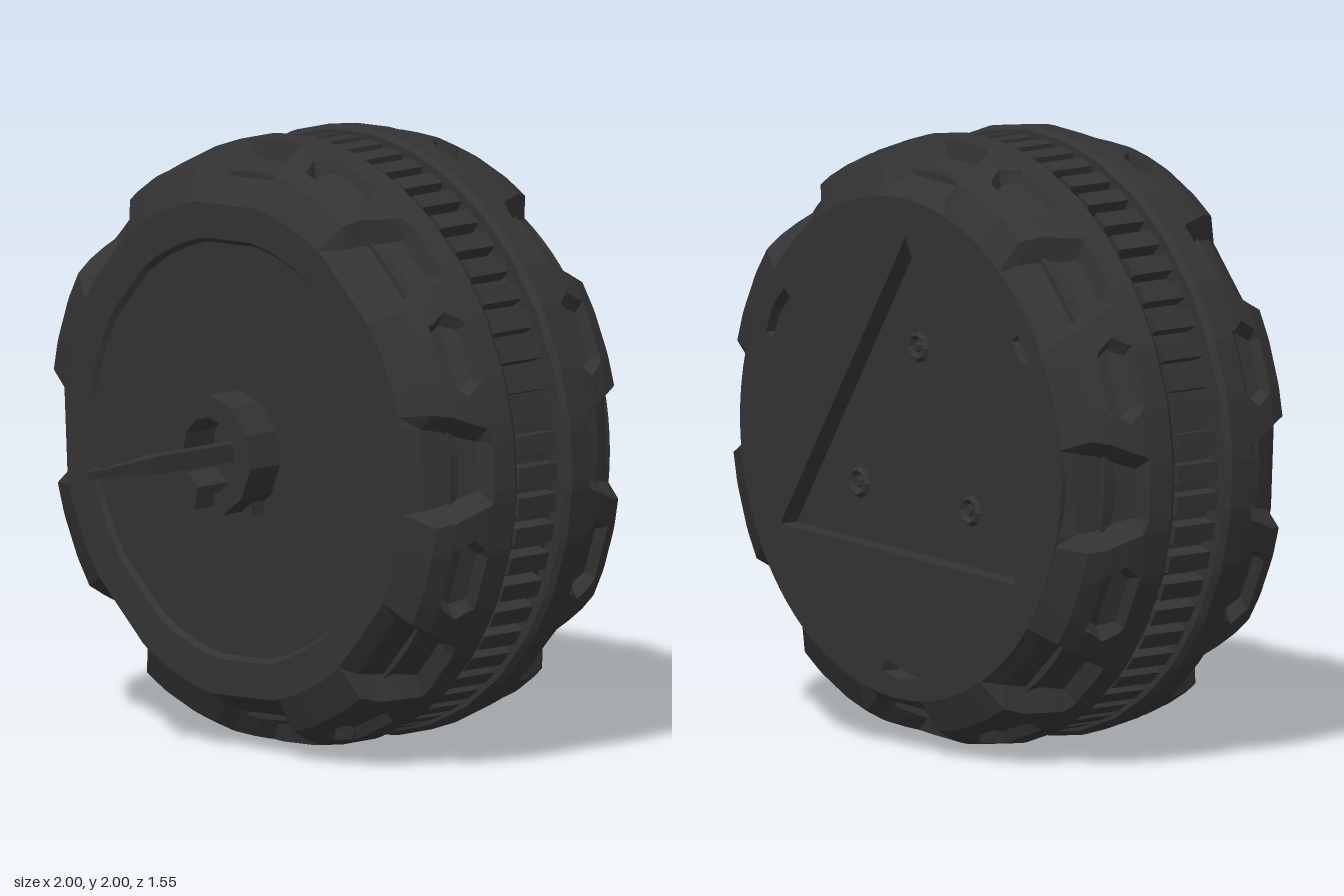
import * as THREE from 'three';

const rubber = new THREE.MeshStandardMaterial({ color: 0x333333, flatShading: true });
rubber.name = 'darkRubber';
const RAD = Math.PI / 180;
const LUGS = 8, PHASE = 3;

function add(parent, geometry, name, x = 0, y = 0, z = 0) {
  const mesh = new THREE.Mesh(geometry, rubber);
  mesh.name = name;
  mesh.position.set(x, y, z);
  parent.add(mesh);
  return mesh;
}

// Drum lying along z between two depths
function drum(r, z0, z1, sides = 64) {
  return new THREE.CylinderGeometry(r, r, Math.abs(z1 - z0), sides)
    .rotateX(Math.PI / 2).translate(0, 0, (z0 + z1) / 2);
}

// Tread half: each row is a ring at depth d from the outer face.
// w = half angle of the shoulder notch, n = notch depth, p = pocket depth
const treadRows = [
  { d: 0.00, r: 0.82, w: 10, n: 0.0, p: 0, h: 4 },
  { d: 0.05, r: 0.93, w: 9, n: 0.07, p: 0, h: 4 },
  { d: 0.11, r: 0.96, w: 8, n: 0.08, p: 0, h: 5 },
  { d: 0.125, r: 0.965, w: 7.5, n: 0.08, p: 0.045, h: 5 },
  { d: 0.18, r: 0.98, w: 6, n: 0.07, p: 0.05, h: 7 },
  { d: 0.225, r: 0.99, w: 5, n: 0.06, p: 0.035, h: 5 },
  { d: 0.24, r: 0.992, w: 4.5, n: 0.0, p: 0, h: 5 },
  { d: 0.325, r: 1.0, w: 4.5, n: 0, p: 0, h: 5 },
  { d: 0.345, r: 0.985, w: 4.5, n: 0, p: 0, h: 5 },
  { d: 0.345, r: 0.86, w: 4.5, n: 0, p: 0, h: 5 },
];

function treadHalf(zOuter, dir, extraRows) {
  const rows = [...extraRows, ...treadRows];
  const pos = [], idx = [];
  const step = 360 / LUGS;
  for (const { d, r, w, n, p, h } of rows) {
    const mid = step / 2;
    const columns = [
      [-w - 2.5, 0], [-w, n], [w, n], [w + 2.5, 0],
      [mid - h - 1.5, 0], [mid - h, p], [mid + h, p], [mid + h + 1.5, 0],
    ];
    for (let k = 0; k < LUGS; k++) {
      for (const [deg, cut] of columns) {
        const a = (PHASE + k * step + deg) * RAD;
        pos.push((r - cut) * Math.cos(a), (r - cut) * Math.sin(a), zOuter - dir * d);
      }
    }
  }
  const cols = LUGS * 8;
  for (let i = 0; i < rows.length - 1; i++) {
    for (let j = 0; j < cols; j++) {
      const a = i * cols + j, b = i * cols + (j + 1) % cols;
      const c = a + cols, e = b + cols;
      if (dir > 0) idx.push(a, c, b, b, c, e);
      else idx.push(a, b, c, b, e, c);
    }
  }
  const g = new THREE.BufferGeometry();
  g.setAttribute('position', new THREE.Float32BufferAttribute(pos, 3));
  g.setIndex(idx);
  const flat = g.toNonIndexed();
  flat.computeVertexNormals();
  return flat;
}

function polar(r, deg) {
  return new THREE.Vector2(r * Math.cos(deg * RAD), r * Math.sin(deg * RAD));
}

// Back cover with a triangular recess and three slots
function backCover(depth) {
  const shape = new THREE.Shape();
  shape.absarc(0, 0, 0.825, 0, Math.PI * 2, false);
  const triangle = [92, 212, 332].map((a) => polar(0.7, a)).reverse();
  shape.holes.push(new THREE.Path(triangle));
  for (const mid of [30, 150, 270]) {
    const slot = [polar(0.71, mid - 7), polar(0.75, mid - 7), polar(0.76, mid),
      polar(0.75, mid + 7), polar(0.71, mid + 7), polar(0.72, mid)];
    shape.holes.push(new THREE.Path(slot));
  }
  return new THREE.ExtrudeGeometry(shape, { depth, bevelEnabled: false, curveSegments: 48 });
}

// Faceted collar, open at the bottom
function hubCollar() {
  const pts = [];
  for (let i = 0; i <= 10; i++) pts.push(polar(0.2, -70 + i * 32));
  for (let i = 10; i >= 0; i--) pts.push(polar(0.125, -65 + i * 31));
  return new THREE.ExtrudeGeometry(new THREE.Shape(pts), { depth: 0.14, bevelEnabled: false });
}

export function createModel() {
  const model = new THREE.Group();
  model.name = 'wheelOnAxle';
  const wheel = new THREE.Group();
  wheel.name = 'wheel';
  wheel.position.y = 1;
  model.add(wheel);

  // Tyre halves; the front one steps down to a shallow recessed disc
  const plain = { w: 9, n: 0, p: 0, h: 4 };
  add(wheel, treadHalf(0.13, 1, [
    { d: 0.022, r: 0.685, ...plain }, { d: 0.005, r: 0.70, ...plain },
  ]), 'frontTread');
  add(wheel, treadHalf(-0.77, -1, []), 'rearTread');

  // Core, front disc and the ribbed middle band
  add(wheel, drum(0.7, -0.70, 0.108), 'frontDisc');
  add(wheel, drum(0.9, -0.65, 0.0), 'core');
  add(wheel, drum(0.925, -0.425, -0.235), 'middleBand');
  const ribs = new THREE.Group();
  ribs.name = 'ribs';
  wheel.add(ribs);
  const ribGeometry = new THREE.BoxGeometry(0.075, 0.062, 0.165);
  for (let i = 0; i < 60; i++) {
    const a = i * 6 * RAD;
    const rib = add(ribs, ribGeometry, 'rib', 0.938 * Math.cos(a), 0.938 * Math.sin(a), -0.318);
    rib.rotation.z = a;
  }

  // Back cover and the bolts on the floor of its recess
  add(wheel, backCover(0.07), 'backCover', 0, 0, -0.77);
  add(wheel, drum(0.8, -0.70, -0.66), 'recessFloor');
  for (const a of [92, 212, 332]) {
    const p = polar(0.33, a);
    add(wheel, new THREE.TorusGeometry(0.04, 0.014, 4, 8), 'boltRing', p.x, p.y, -0.702);
    add(wheel, drum(0.016, -0.715, -0.69, 6), 'boltCore', p.x, p.y, 0);
  }

  // Hub collar with its foot plate
  add(wheel, hubCollar(), 'hubCollar', 0, 0, 0.1);
  add(wheel, new THREE.BoxGeometry(0.24, 0.05, 0.06), 'hubFoot', 0, -0.17, 0.13);
  add(wheel, new THREE.BoxGeometry(0.06, 0.06, 0.13), 'hubKey', 0, 0.16, 0.17);

  // Square tapered axle
  const axle = new THREE.Group();
  axle.name = 'axle';
  wheel.add(axle);
  const bar = (r0, r1, z0, z1, squash) => new THREE.CylinderGeometry(r1, r0, z1 - z0, 4)
    .rotateY(Math.PI / 4).rotateX(Math.PI / 2).scale(squash, 1, 1).translate(0, 0, (z0 + z1) / 2);
  add(axle, bar(0.042, 0.042, 0.1, 0.48, 0.75), 'axleBase');
  add(axle, bar(0.042, 0.018, 0.48, 0.7, 0.75), 'axleTaper');
  add(axle, bar(0.018, 0.018, 0.7, 0.78, 0.9), 'axleTip');
  return model;
}
